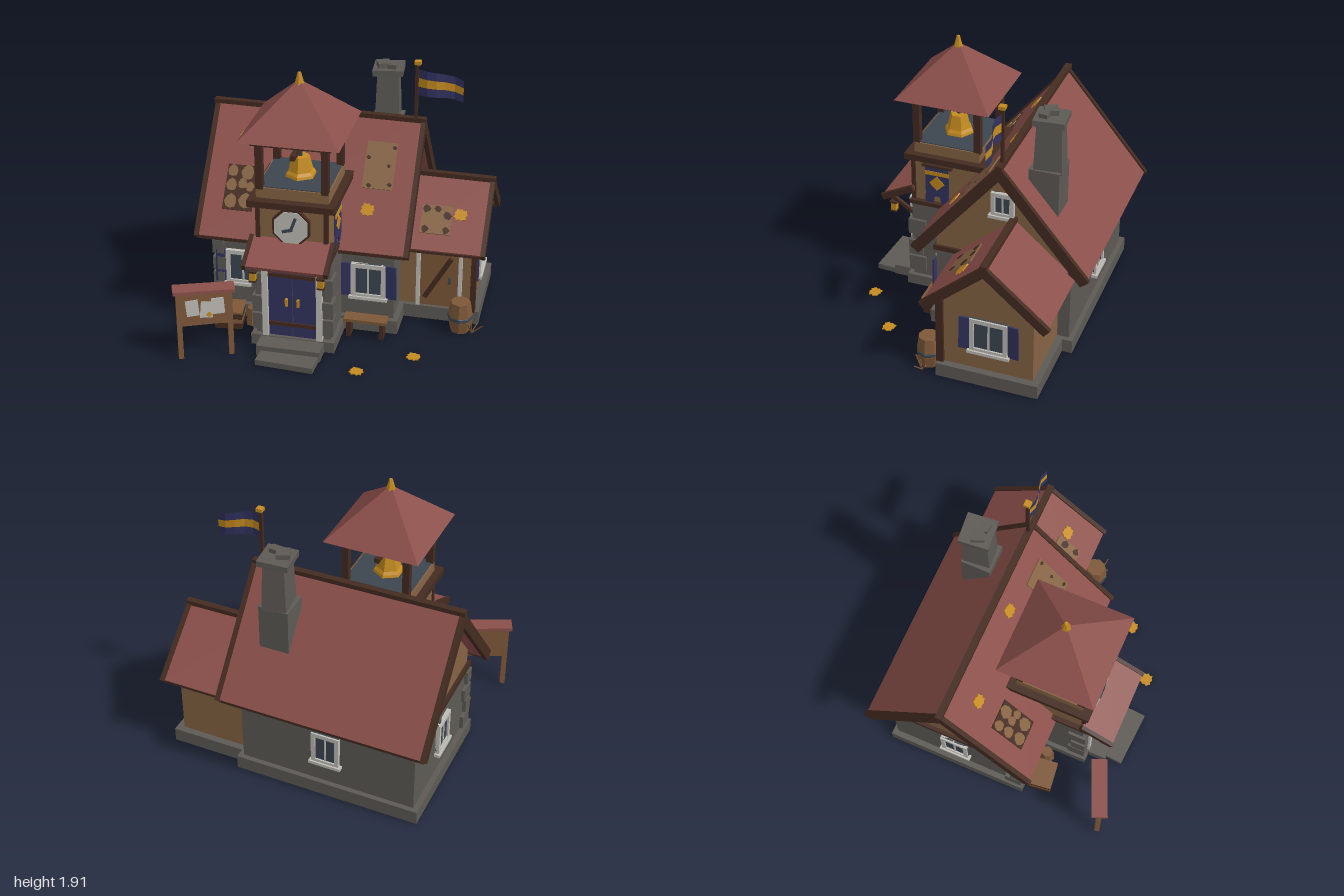
import * as THREE from 'three';

const paint = (name, color) => Object.assign(new THREE.MeshStandardMaterial({ color }), { name });

export function createModel() {
  const root = new THREE.Group();
  root.name = 'villageHall';
  const red = paint('roofRed', 0x8b4f4a), dark = paint('darkTimber', 0x442b20), plaster = paint('tanPlaster', 0x856343),
    wood = paint('lightWood', 0x7d5838), stone = paint('greyStone', 0x5d5a55), white = paint('paleTrim', 0xbfbdb6),
    blue = paint('navyBlue', 0x32325f), gold = paint('gold', 0xc48b1f), slate = paint('slateGlass', 0x3c4650);
  blue.side = gold.side = THREE.DoubleSide; // open flag cloth

  const add = (name, geo, mat, x = 0, y = 0, z = 0, parent = root) => {
    const m = new THREE.Mesh(geo, mat);
    m.name = name;
    m.position.set(x, y, z);
    parent.add(m);
    return m;
  };
  const box = (name, mat, w, h, d, x, y, z, parent) => add(name, new THREE.BoxGeometry(w, h, d), mat, x, y, z, parent);
  // Box given by its limits
  const block = (name, mat, x0, x1, y0, y1, z0, z1, parent) =>
    box(name, mat, x1 - x0, y1 - y0, z1 - z0, (x0 + x1) / 2, (y0 + y1) / 2, (z0 + z1) / 2, parent);
  // Stone base, hollow underneath
  const hollow = (name, x0, x1, top, z0, z1, parent) => {
    const t = 0.03, lid = top * 0.6;
    block(name, stone, x0, x1, lid, top, z0, z1, parent);
    [[x0, x0 + t], [x1 - t, x1]].forEach(([a, b]) => block(name + 'Side', stone, a, b, 0.01, lid, z0, z1, parent));
    [[z0, z0 + t], [z1 - t, z1]].forEach(([a, b]) => block(name + 'End', stone, x0 + t, x1 - t, 0.01, lid, a, b, parent));
  };
  const group = (name, x, y, z, ry = 0, parent = root) => {
    const g = new THREE.Group();
    g.name = name;
    g.position.set(x, y, z);
    g.rotation.y = ry;
    parent.add(g);
    return g;
  };
  const faceted = (geo) => {
    const g = geo.toNonIndexed();
    g.computeVertexNormals();
    return g;
  };
  const lathe = (pts, n) => faceted(new THREE.LatheGeometry(pts.map(p => new THREE.Vector2(...p)), n));
  const beam = (name, mat, a, b, w, parent) => {
    const A = new THREE.Vector3(...a), B = new THREE.Vector3(...b), dir = B.clone().sub(A);
    const mid = A.add(B).multiplyScalar(0.5);
    const m = box(name, mat, w, dir.length(), w, mid.x, mid.y, mid.z, parent);
    m.quaternion.setFromUnitVectors(new THREE.Vector3(0, 1, 0), dir.normalize());
  };
  const plate = (name, mat, pts, depth, x, y, z, parent) => add(name, new THREE.ExtrudeGeometry(
    new THREE.Shape(pts.map(p => new THREE.Vector2(...p))), { depth, bevelEnabled: false }), mat, x, y, z, parent);
  // Polygon in the (-z, y) plane, drawn out along x
  const prism = (name, mat, pts, x0, x1, z) => {
    plate(name, mat, pts, x1 - x0, x0, 0, z, root).rotation.y = Math.PI / 2;
  };
  const blob = (r, n, k, sy = 1) => Array.from({ length: n }, (_, i) => {
    const a = i / n * Math.PI * 2, s = r * (1 + k * Math.sin(i * 2.4 + r * 90));
    return [Math.cos(a) * s, Math.sin(a) * s * sy];
  });
  const leafOutline = Array.from({ length: 18 }, (_, i) => {
    const a = i / 18 * Math.PI * 2, r = (i % 2 ? 0.038 : 0.047) * (1 + 0.1 * Math.sin(i * 1.3));
    return [Math.cos(a) * r * 1.05, Math.sin(a) * r];
  });
  const leaf = (p, x = 0, y = 0, z = 0) => plate('leaf', gold, leafOutline, 0.008, x, y, z, p);

  // Gabled roof with bargeboards and ridge beam
  const gable = (name, o) => {
    const { x0, x1, z, y, run, s, t } = o;
    const k = Math.hypot(1, s), chevron = (up, down, extra) => {
      const r = run + extra, e = (up + down) * s / k; // square-cut eaves
      return [[-r, y - s * r + up * k], [-r + e, y - s * r + up * k - (up + down) / k],
        [0, y - down * k], [r - e, y - s * r + up * k - (up + down) / k], [r, y - s * r + up * k], [0, y + up * k]];
    };
    prism(name + 'Roof', red, chevron(0, t, 0), x0, x1, z);
    o.ends.forEach(x => prism(name + 'Bargeboard', dark, chevron(0.012, t + 0.012, 0.015), x - 0.016, x + 0.016, z));
    box(name + 'RidgeBeam', dark, x1 - x0 + 0.045, 0.032, 0.046, (x0 + x1) / 2, y + 0.008, z).rotation.z = -0.012;
    const ez = run - 0.03;
    [-1, 1].forEach(d => block(name + 'EaveBoard', dark, x0, x1, y - s * run - 0.035, y - s * run - 0.005, z + d * ez - 0.015, z + d * ez + 0.015));
  };
  const main = { x0: -0.97, x1: 0.48, z: -0.282, y: 1.41, run: 0.61, s: 1.2, t: 0.05, ends: [-0.97, 0.485] };
  const wing = { x0: 0.38, x1: 0.965, z: -0.357, y: 0.973, run: 0.43, s: 0.86, t: 0.04, ends: [0.968] };

  // Main hall
  hollow('mainPlinth', -0.91, 0.42, 0.11, -0.79, 0.24);
  block('mainWalls', stone, -0.87, 0.385, 0.1, 0.62, -0.755, 0.2);
  prism('mainGable', plaster, [[-0.48, 0.62], [0.47, 0.62], [0.47, 0.75], [0, 1.325], [-0.48, 0.75]], -0.865, 0.385, main.z);
  block('wallBeam', dark, -0.89, 0.405, 0.615, 0.65, -0.77, 0.215);
  gable('main', main);

  // Side wing
  hollow('wingPlinth', 0.39, 0.95, 0.11, -0.72, -0.01);
  prism('wingWalls', plaster, [[-0.315, 0.1], [0.315, 0.1], [0.315, 0.64], [0, 0.92], [-0.315, 0.64]], 0.38, 0.9, wing.z);
  block('wingCornerPost', dark, 0.885, 0.922, 0.1, 0.61, -0.055, -0.005);
  gable('wing', wing);

  // Windows, built facing +z
  const window_ = (x, y, z, ry, w, h, shutters) => {
    const g = group('window', x, y, z, ry);
    box('glass', slate, w, h, 0.02, 0, 0, 0.005, g);
    [-1, 1].forEach(d => {
      box('frameSide', white, 0.03, h, 0.035, d * (w / 2 - 0.015), 0, 0.01, g);
      box('frameRail', white, w, 0.03, 0.035, 0, d * (h / 2 - 0.015), 0.01, g);
      if (shutters) {
        const s = box('shutter', blue, 0.075, h - 0.01, 0.014, d * (w / 2 + 0.038), 0, 0.013, g);
        s.rotation.y = -d * 0.12;
        s.rotation.z = d * 0.03;
      }
    });
    box('mullion', white, 0.013, h, 0.025, 0, 0, 0.008, g);
    box('sill', white, w + 0.03, 0.022, 0.05, 0, -h / 2, 0.015, g);
  };
  const q = Math.PI / 2;
  window_(0.21, 0.395, 0.202, 0, 0.24, 0.26, true);
  window_(-0.68, 0.395, 0.202, 0, 0.24, 0.26, true);
  window_(-0.24, 0.4, -0.755, 2 * q, 0.2, 0.25, false);
  window_(-0.87, 0.4, -0.28, -q, 0.2, 0.25, false);
  window_(0.898, 0.39, -0.37, q, 0.26, 0.26, true);
  window_(0.385, 1.075, -0.278, q, 0.16, 0.18, false);

  // Wing door
  block('wingDoor', wood, 0.53, 0.8, 0.11, 0.57, -0.05, -0.035);
  [0.515, 0.81].forEach(x => box('wingDoorPost', white, 0.026, 0.47, 0.04, x, 0.345, -0.035));
  box('wingDoorLintel', white, 0.32, 0.02, 0.04, 0.662, 0.575, -0.035);
  beam('doorBrace', dark, [0.565, 0.18, -0.028], [0.745, 0.5, -0.028], 0.032);
  box('doorHandle', slate, 0.018, 0.05, 0.02, 0.735, 0.325, -0.026);

  // Tower
  const tower = group('tower', -0.24, 0, 0.27);
  hollow('towerPlinth', -0.29, 0.29, 0.09, -0.06, 0.3, tower);
  block('towerBase', stone, -0.26, 0.26, 0.08, 0.69, -0.1, 0.26, tower);
  block('towerBeam', dark, -0.27, 0.27, 0.69, 0.72, -0.15, 0.272, tower);
  block('towerWall', plaster, -0.235, 0.235, 0.7, 1.07, -0.26, 0.255, tower);
  block('towerLedge', dark, -0.295, 0.295, 1.06, 1.105, -0.295, 0.295, tower);
  block('belfryParapet', plaster, -0.245, 0.245, 1.1, 1.18, -0.24, 0.235, tower);
  block('belfryFloor', slate, -0.235, 0.235, 1.18, 1.186, -0.23, 0.225, tower);
  for (const i of [-1, 1]) {
    box('wallPost', dark, 0.03, 0.35, 0.03, i * 0.23, 0.89, 0.25, tower);
    for (const j of [-1, 1]) box('belfryPost', dark, 0.048, 0.34, 0.048, i * 0.22, 1.34, j * 0.22, tower);
    box('topBeam', dark, 0.535, 0.045, 0.07, 0, 1.508, i * 0.23, tower);
    box('topBeam', dark, 0.07, 0.045, 0.39, i * 0.23, 1.508, 0, tower);
  }
  add('towerRoof', faceted(new THREE.ConeGeometry(0.337 * Math.SQRT2, 0.335, 4).rotateY(Math.PI / 4)), red, 0, 1.697, 0, tower);
  add('finial', faceted(new THREE.CylinderGeometry(0.012, 0.033, 0.08, 6)), gold, 0, 1.872, 0, tower);
  box('bellBeam', dark, 0.035, 0.035, 0.44, 0, 1.4, 0, tower);
  box('bellRod', slate, 0.022, 0.1, 0.022, 0, 1.35, 0, tower);
  add('bell', lathe([[0, 1.187], [0.108, 1.187], [0.102, 1.205], [0.086, 1.225], [0.061, 1.325], [0, 1.325]], 6), gold, 0, 0, 0, tower);

  // Clock
  const disc = (name, mat, r, d, z) => add(name, faceted(new THREE.CylinderGeometry(r, r, d, 8).rotateY(Math.PI / 8).rotateX(q)), mat, 0, 0.93, z, tower);
  disc('clockRim', dark, 0.137, 0.03, 0.265);
  disc('clockFace', white, 0.122, 0.03, 0.27);
  beam('minuteHand', slate, [-0.002, 0.91, 0.284], [0.033, 1.005, 0.284], 0.02, tower);
  beam('hourHand', slate, [0.01, 0.918, 0.284], [-0.058, 0.9, 0.284], 0.02, tower);

  // Double door and frame
  block('mainDoor', blue, -0.17, 0.17, 0.085, 0.66, 0.26, 0.275, tower);
  block('doorGap', slate, -0.003, 0.003, 0.085, 0.66, 0.27, 0.278, tower);
  [0.185, 0.562].forEach(y => box('doorStrap', dark, 0.33, 0.028, 0.012, 0, y, 0.28, tower));
  box('doorLintel', white, 0.42, 0.045, 0.05, 0, 0.68, 0.275, tower);
  for (const i of [-1, 1]) {
    box('doorPost', white, 0.04, 0.575, 0.05, i * 0.187, 0.373, 0.275, tower);
    box('doorHandle', gold, 0.018, 0.055, 0.02, i * 0.04, 0.36, 0.285, tower);
    // Corner stones
    [[0.19, 0.125], [0.325, 0.105], [0.5, 0.13]].forEach(([y, w]) =>
      box('cornerStone', stone, 0.075, 0.12, w, i * 0.242, y, 0.285 - w / 2, tower));
    // Porch strut and hanging lantern
    beam('porchStrut', dark, [i * 0.23, 0.59, 0.26], [i * 0.23, 0.7, 0.43], 0.026, tower);
    const l = group('lantern', i * 0.23, 0.615, 0.41, 0, tower);
    box('lanternBody', gold, 0.04, 0.06, 0.04, 0, 0, 0, l);
    box('lanternCap', dark, 0.054, 0.014, 0.054, 0, 0.036, 0, l);
    box('lanternFoot', dark, 0.05, 0.01, 0.05, 0, -0.034, 0, l);
    box('lanternHook', dark, 0.008, 0.06, 0.008, 0, 0.07, 0, l);
  }
  const porch = group('porchRoof', 0, 0.762, 0.36, 0, tower);
  porch.rotation.x = 0.46;
  box('porchTiles', red, 0.53, 0.03, 0.25, 0, 0, 0, porch);
  [-1, 1].forEach(i => box('porchBargeboard', dark, 0.028, 0.045, 0.26, i * 0.275, 0, 0, porch));

  // Steps
  hollow('upperStep', -0.46, -0.02, 0.085, 0.5, 0.7);
  hollow('lowerStep', -0.2, 0.2, 0.05, -0.1, 0.1, group('lowerStep', -0.23, 0, 0.73, -0.06));

  // Main corner stones
  [0.17, 0.29, 0.41, 0.54].forEach((y, n) => {
    const w = n % 2 ? 0.08 : 0.12;
    box('cornerStone', stone, w, 0.1, w, -0.895 + w / 2, y, 0.225 - w / 2);
  });

  // Side banner
  const banner = group('banner', 0.005, 0, 0.335, q);
  plate('bannerCloth', blue, [[-0.085, 1.02], [-0.085, 0.8], [-0.09, 0.73], [-0.03, 0.73], [-0.02, 0.785], [0.02, 0.785], [0.03, 0.73], [0.09, 0.73], [0.085, 0.8], [0.085, 1.02]], 0.009, 0, 0, 0.015, banner);
  box('bannerStripe', gold, 0.172, 0.03, 0.008, 0, 0.97, 0.024, banner);
  box('bannerDiamond', gold, 0.08, 0.08, 0.008, 0, 0.892, 0.024, banner).rotation.z = Math.PI / 4;
  box('bannerRod', dark, 0.22, 0.018, 0.03, 0, 1.025, 0.015, banner);

  // Chimney
  block('chimneyBase', stone, 0.085, 0.295, 0.94, 1.32, -0.625, -0.415);
  const chimney = group('chimney', 0.192, 0, -0.53, 0.09);
  const shaft = new THREE.CylinderGeometry(0.112, 0.131, 0.36, 4).rotateY(Math.PI / 4).scale(0.92, 1, 1.04);
  add('chimneyShaft', faceted(shaft), stone, 0, 1.48, 0, chimney);
  box('chimneyCap', stone, 0.21, 0.042, 0.21, 0, 1.665, 0, chimney).rotation.z = 0.03;
  box('capStone', stone, 0.09, 0.04, 0.09, -0.035, 1.7, 0.01, chimney).rotation.y = 0.3;
  box('capStone', stone, 0.06, 0.035, 0.06, 0.03, 1.7, 0.04, chimney).rotation.y = -0.2;

  // Flag
  box('flagPole', dark, 0.022, 0.42, 0.022, 0.43, 1.61, -0.285);
  box('poleCap', gold, 0.045, 0.024, 0.045, 0.435, 1.823, -0.285);
  [blue, gold, blue].forEach((mat, i) => {
    const g = new THREE.PlaneGeometry(0.305, 0.063, 5, 1), p = g.attributes.position;
    for (let k = 0; k < p.count; k++) {
      const u = p.getX(k) / 0.305 + 0.5;
      p.setY(k, (p.getY(k) + 0.063 * (1 - i)) * (1 - 0.18 * u) - 0.045 * u * u);
      p.setZ(k, 0.022 * Math.sin(u * 6));
    }
    add('flagStripe', faceted(g), mat, 0.595, 1.682, -0.282);
  });

  // Roof repairs and fallen leaves, laid on the front slopes
  const onRoof = (name, r, x, z) => {
    const g = group(name, x, r.y - r.s * (z - r.z), z);
    g.rotation.x = -Math.atan2(1, r.s);
    return g;
  };
  const cobble = onRoof('cobbledPatch', main, -0.715, 0.1);
  box('patchBack', dark, 0.21, 0.32, 0.009, 0, 0, 0.004, cobble);
  [[-0.065, 0.115, 0.036], [0.04, 0.11, 0.045], [-0.062, 0.015, 0.038], [0.015, 0.03, 0.032], [0.072, 0.01, 0.03], [-0.052, -0.1, 0.043], [0.05, -0.09, 0.046]].forEach(([x, y, r]) =>
    plate('patchPiece', plaster, blob(r, 8, 0.08, 1.2), 0.005, x, y, 0.008, cobble));
  const boards = onRoof('boardPatch', main, 0.23, -0.06);
  box('patchBack', plaster, 0.21, 0.33, 0.009, 0, 0, 0.004, boards);
  const low = onRoof('wingPatch', wing, 0.62, -0.1);
  box('patchBack', plaster, 0.21, 0.21, 0.009, 0, 0, 0.004, low);
  [[boards, -0.085, 0.05, 0.015], [boards, 0.06, 0, 0.012], [boards, -0.06, -0.145, 0.016], [boards, 0.085, 0.13, 0.014], [boards, 0.08, -0.13, 0.015],
    [low, -0.075, 0.075, 0.028], [low, 0.072, 0.035, 0.03], [low, -0.07, -0.075, 0.026], [low, 0.0, 0.08, 0.024], [low, 0.075, -0.075, 0.025]].forEach(([p, x, y, r], i) =>
    plate('patchHole', dark, blob(r, 6 + i % 2, 0.15), 0.004, x, y, 0.007, p));
  [[main, -0.73, -0.13], [main, -0.1, -0.19], [main, 0.185, 0.14], [wing, 0.78, -0.14]].forEach(([r, x, z]) => leaf(onRoof('roofLeaf', r, x, z)));
  [[0.58, 0.49], [0.24, 0.745]].forEach(([x, z]) => leaf(root, x, 0.005, z).rotation.x = -q);

  // Notice board
  const board = group('noticeBoard', -0.785, 0, 0.775, 0.4);
  [-1, 1].forEach(i => box('boardPost', wood, 0.035, 0.51, 0.035, i * 0.17, 0.265, 0, board));
  box('boardPanel', wood, 0.32, 0.24, 0.025, 0, 0.38, 0, board);
  box('boardRoof', red, 0.41, 0.025, 0.11, 0, 0.53, 0, board).rotation.z = -0.03;
  [[-0.08, 0.395, 0.08], [0.015, 0.375, -0.1], [0.09, 0.4, 0.05]].forEach(([x, y, r]) =>
    box('paper', white, 0.085, 0.12, 0.006, x, y, 0.015 + x * 0.02, board).rotation.z = r);
  box('boardDiamond', gold, 0.03, 0.03, 0.006, 0.03, 0.34, 0.021, board).rotation.z = Math.PI / 4;

  // Crate, bucket, bench
  const crate = group('crate', -0.75, 0.005, 0.33, 0.12);
  box('crateBody', dark, 0.19, 0.12, 0.17, 0, 0.06, 0, crate);
  box('crateLid', wood, 0.2, 0.015, 0.18, 0, 0.127, 0, crate);
  box('crateSlat', wood, 0.192, 0.03, 0.175, 0, 0.06, 0, crate);
  add('bucket', faceted(new THREE.CylinderGeometry(0.04, 0.055, 0.125, 8)), wood, -0.59, 0.07, 0.3);
  const bench = group('bench', 0.21, 0.005, 0.285);
  box('benchSeat', wood, 0.3, 0.022, 0.1, 0, 0.13, 0, bench);
  [-1, 1].forEach(i => box('benchLeg', dark, 0.03, 0.12, 0.09, i * 0.115, 0.06, 0, bench));

  // Barrel and dry grass
  add('barrel', lathe([[0, 0.01], [0.068, 0.01], [0.087, 0.1], [0.085, 0.14], [0.07, 0.235], [0, 0.235]], 8), wood, 0.835, 0, 0.08);
  add('barrelHoop', lathe([[0.086, 0.105], [0.09, 0.11], [0.09, 0.13], [0.086, 0.135]], 8), slate, 0.835, 0, 0.08);
  [[0.075, 0.08, 0.02], [-0.02, 0.1, 0.05], [0.035, 0.07, -0.04], [0, 0.085, 0.01]].forEach(([dx, h, dz]) =>
    beam('grassBlade', wood, [0.92, 0.003, 0.1], [0.92 + dx, h, 0.1 + dz], 0.007));
  return root;
}
